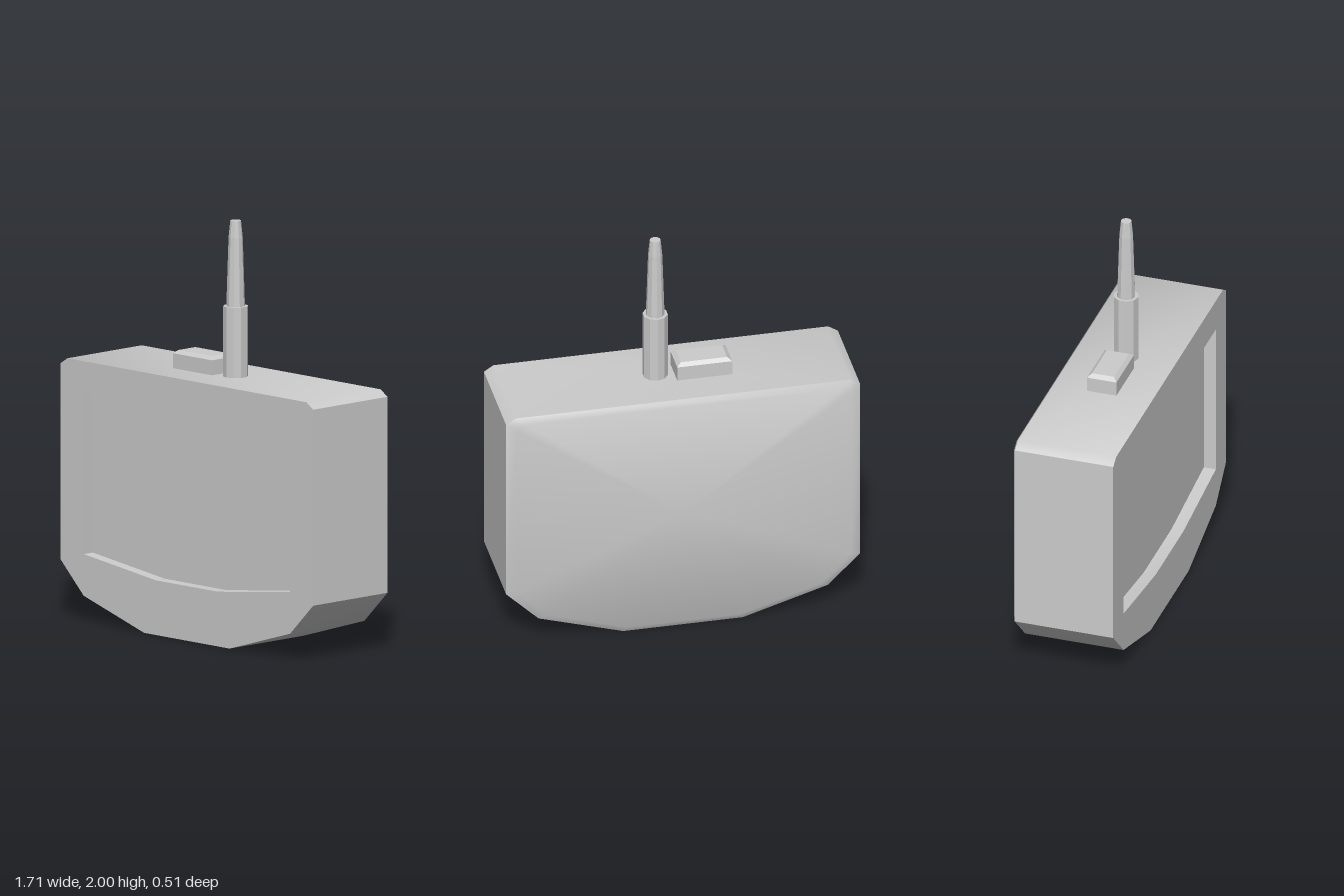
import * as THREE from 'three';
import { toCreasedNormals } from 'three/addons/utils/BufferGeometryUtils.js';

const CREASE = 0.7;
const material = new THREE.MeshStandardMaterial({ color: 0xcccccc });
const flatMaterial = new THREE.MeshStandardMaterial({ color: 0xcccccc, flatShading: true });

// Mirror the right half of an outline (bottom to top) into a counter-clockwise loop.
const mirrored = (half) => [...half, ...half.slice().reverse().map(([x, y]) => [-x, y])];
const toLoop = (points, z) => points.map(([x, y]) => [x, y, z]);
const toVectors = (points) => points.map(([x, y]) => new THREE.Vector2(x, y));

// Skin a series of loops; optionally close the last one with a fan.
function skin(loops, capCentre) {
  const positions = [];
  const n = loops[0].length;
  for (let k = 0; k < loops.length - 1; k++) {
    const a = loops[k], b = loops[k + 1];
    for (let i = 0; i < n; i++) {
      const j = (i + 1) % n;
      positions.push(...a[i], ...b[i], ...b[j], ...a[i], ...b[j], ...a[j]);
    }
  }
  if (capCentre) {
    const last = loops[loops.length - 1];
    for (let i = 0; i < n; i++) positions.push(...capCentre, ...last[(i + 1) % n], ...last[i]);
  }
  const geometry = new THREE.BufferGeometry();
  geometry.setAttribute('position', new THREE.Float32BufferAttribute(positions, 3));
  return toCreasedNormals(geometry, CREASE);
}

export function createModel() {
  const group = new THREE.Group();
  const add = (name, geometry, mat = material) => {
    const mesh = new THREE.Mesh(geometry, mat);
    mesh.name = name;
    group.add(mesh);
    return mesh;
  };

  const outline = mirrored([[0.29, 0], [0.7, 0.125], [0.857, 0.28], [0.857, 1.222], [0.81, 1.252]]);
  const screen = mirrored([[0.21, 0.263], [0.7, 0.325], [0.7, 1.095]]);
  const front = 0.255, rim = -0.235, back = -0.255, floor = 0.195;

  // Casing: straight sides and a softly bevelled back
  const inset = outline.map(([x, y]) => [x * 0.945, 0.63 + (y - 0.63) * 0.95]);
  add('casing', skin([toLoop(outline, front), toLoop(outline, rim), toLoop(inset, back)], [0, 0.63, back]));

  // Front frame around the screen opening
  const frame = new THREE.Shape(toVectors(outline));
  frame.holes.push(new THREE.Path(toVectors(screen)));
  add('frontFrame', new THREE.ShapeGeometry(frame)).position.z = front;

  // Recessed screen and its walls
  add('screenWalls', skin([toLoop(screen, floor), toLoop(screen, front)]));
  add('screen', new THREE.ShapeGeometry(new THREE.Shape(toVectors(screen)))).position.z = floor;

  // Top button: box with a chamfered top
  const rect = (w, d, y) => [[-w, y, d], [-w, y, -d], [w, y, -d], [w, y, d]];
  const button = add('button', skin(
    [rect(0.112, 0.055, 0.09), rect(0.133, 0.073, 0.074), rect(0.133, 0.073, 0)].map((l) => l.reverse()),
  ), flatMaterial);
  button.position.set(-0.142, 1.25, 0.007);
  const buttonTop = add('buttonTop', new THREE.PlaneGeometry(0.224, 0.11).rotateX(-Math.PI / 2));
  buttonTop.position.set(-0.142, 1.34, 0.007);

  // Antenna: socket and tapered rod
  const lathe = (points) => new THREE.LatheGeometry(toVectors(points), 10);
  const socket = add('antennaSocket', lathe([[0.06, 1.24], [0.06, 1.59], [0.03, 1.59]]), flatMaterial);
  const rod = add('antennaRod', lathe([[0.045, 1.58], [0.037, 1.83], [0.034, 1.92], [0.026, 2], [0, 2]]), flatMaterial);
  for (const part of [socket, rod]) part.position.set(0.081, 0, 0.012);

  return group;
}
